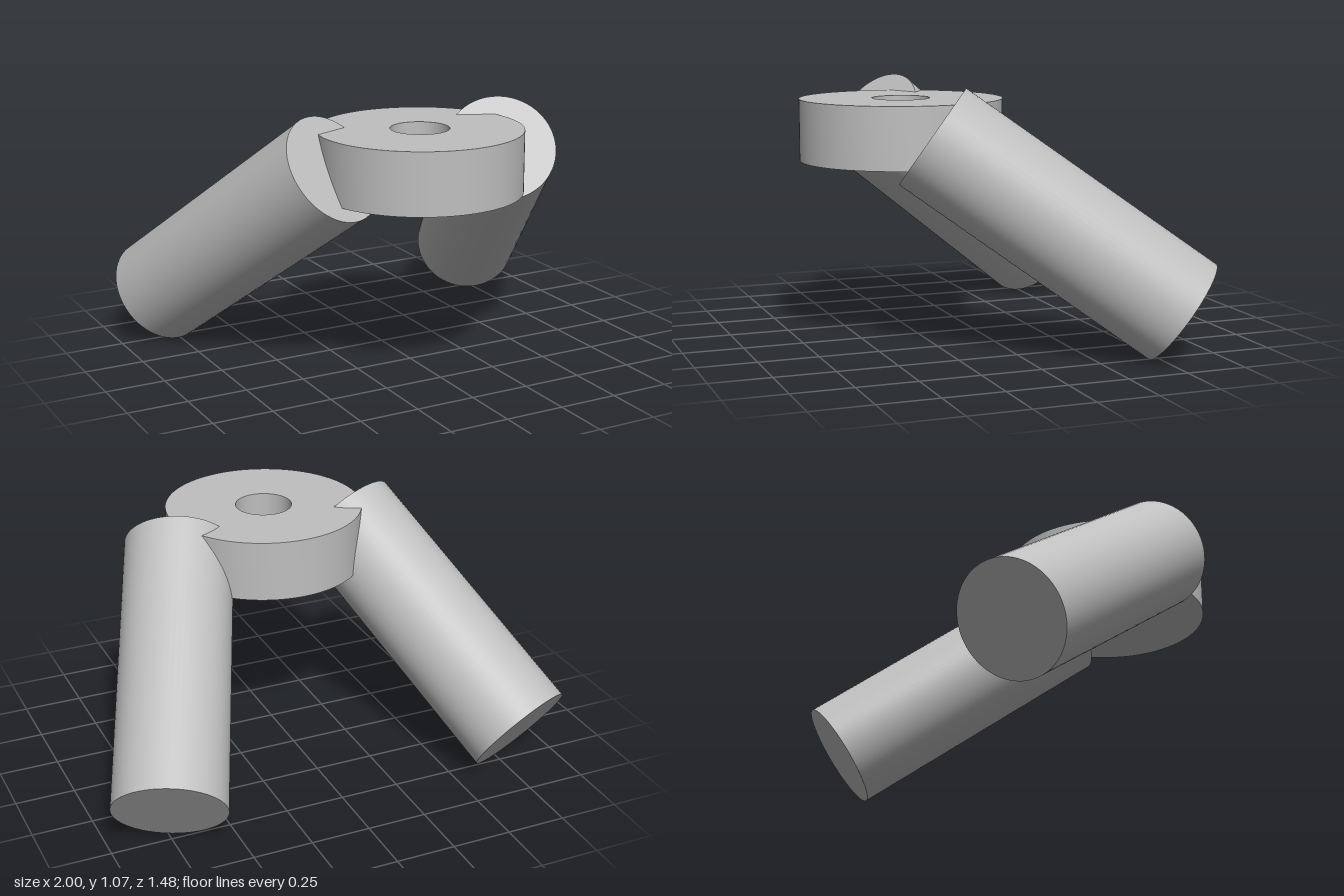
import * as THREE from 'three';
import { toCreasedNormals } from 'three/addons/utils/BufferGeometryUtils.js';

export function createModel() {
  const group = new THREE.Group();
  const grey = new THREE.MeshStandardMaterial({ color: 0xbfbfbf });
  grey.name = 'plain grey';

  // Flat ring with a round through-hole
  const outline = new THREE.Shape().absarc(0, 0, 0.42, 0, Math.PI * 2, false);
  outline.holes.push(new THREE.Path().absarc(0, 0, 0.12, 0, Math.PI * 2, true));
  const ringGeometry = new THREE.ExtrudeGeometry(outline, {
    depth: 0.255, bevelEnabled: false, curveSegments: 64,
  });
  ringGeometry.rotateX(-Math.PI / 2);
  const ring = new THREE.Mesh(toCreasedNormals(ringGeometry, 0.6), grey);
  ring.name = 'ring';
  ring.position.set(0, 0.748, 0.319);
  group.add(ring);

  // Two splayed round legs running down and back from the ring's sides
  const up = new THREE.Vector3(0, 1, 0);
  for (const side of [1, -1]) {
    const top = new THREE.Vector3(side * 0.388, 0.88, 0.317);
    const foot = new THREE.Vector3(side * 0.783, 0.19, -0.587);
    const axis = top.clone().sub(foot);
    const leg = new THREE.Mesh(
      new THREE.CylinderGeometry(0.231, 0.231, axis.length(), 64), grey);
    leg.name = side > 0 ? 'leftLeg' : 'rightLeg';
    leg.position.copy(top).add(foot).multiplyScalar(0.5);
    leg.quaternion.setFromUnitVectors(up, axis.normalize());
    group.add(leg);
  }
  return group;
}
